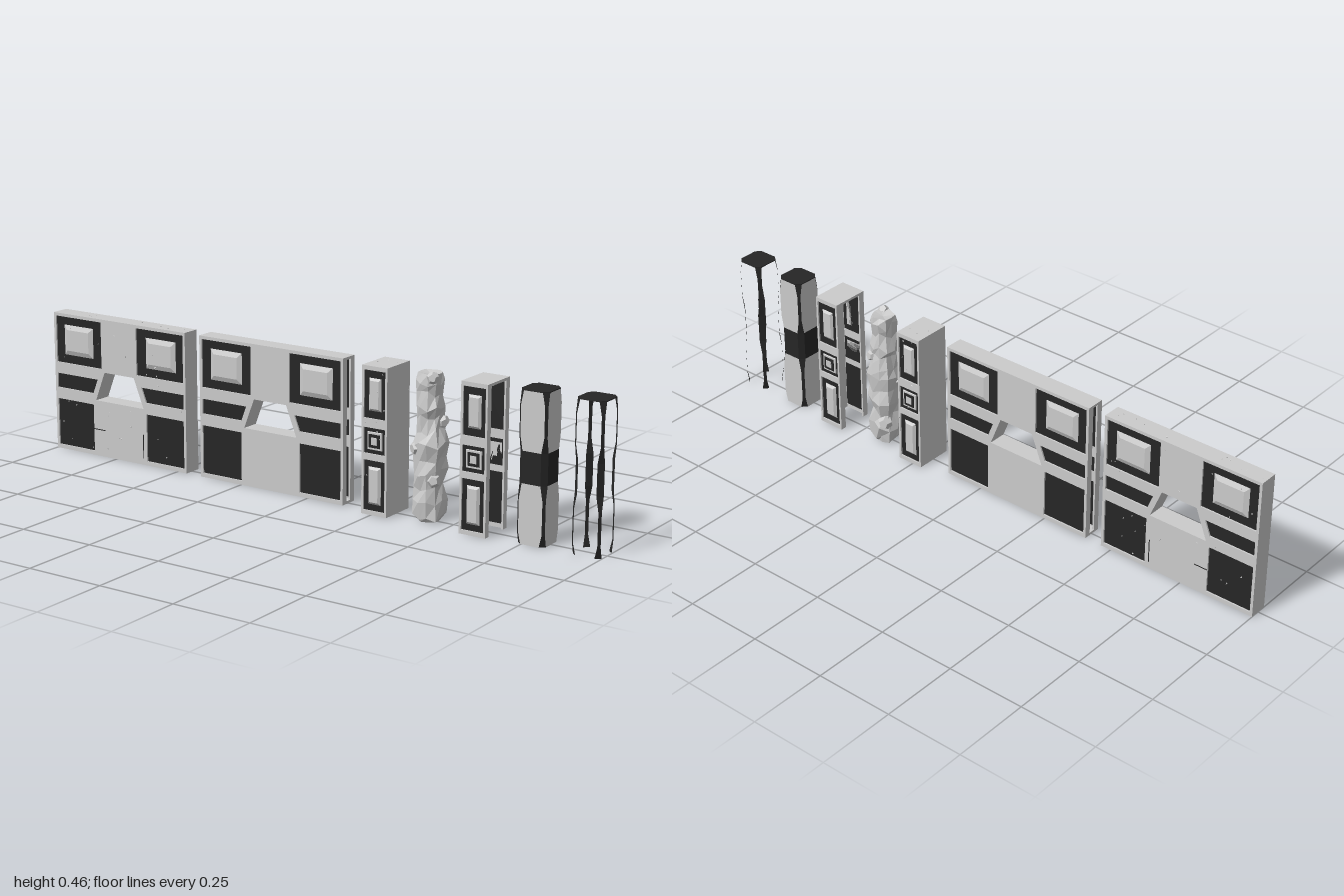
import * as THREE from 'three';

const H = 0.453;
const make = (color) => new THREE.MeshStandardMaterial({ color, flatShading: true, side: THREE.DoubleSide });
const grey = make(0xcccccc), dark = make(0x262626);

let seed = 7;
const rnd = () => (seed = (seed * 16807) % 2147483647) / 2147483647;

function add(parent, name, geo, mat, x = 0, y = 0, z = 0) {
  const m = new THREE.Mesh(geo, mat);
  m.name = name;
  m.position.set(x, y, z);
  parent.add(m);
  return m;
}
const box = (parent, name, mat, w, h, d, x, y, z) => add(parent, name, new THREE.BoxGeometry(w, h, d), mat, x, y, z);
const toShape = (pts) => new THREE.Shape(pts.map(([x, y]) => new THREE.Vector2(x, y)));
const rect = (x0, x1, y0, y1) => [[x0, y0], [x1, y0], [x1, y1], [x0, y1]];
const slab = (pts, holes, depth) => {
  const s = toShape(pts);
  s.holes = holes.map(toShape);
  return new THREE.ExtrudeGeometry(s, { depth, bevelEnabled: false });
};

// Box whose front face is shrunk, giving a bevelled pane
function pane(w, h, d, inset) {
  const g = new THREE.BoxGeometry(w, h, d), p = g.attributes.position;
  for (let i = 0; i < p.count; i++) {
    if (p.getZ(i) > 0) p.setXY(i, p.getX(i) - Math.sign(p.getX(i)) * inset, p.getY(i) - Math.sign(p.getY(i)) * inset);
  }
  g.computeVertexNormals();
  return g;
}

// Skin through rows of points, bottom row first
function loft(rows) {
  const v = [];
  for (let i = 0; i + 1 < rows.length; i++) {
    for (let j = 0; j + 1 < rows[i].length; j++) {
      const a = rows[i][j], b = rows[i][j + 1], c = rows[i + 1][j + 1], d = rows[i + 1][j];
      v.push(...a, ...b, ...c, ...a, ...c, ...d);
    }
  }
  const g = new THREE.BufferGeometry();
  g.setAttribute('position', new THREE.Float32BufferAttribute(v, 3));
  g.computeVertexNormals();
  return g;
}

// Hollow block with the same recessed facade on front and back
function block(name, x, W, Z, recesses, openings, panes, closed) {
  const g = new THREE.Group();
  g.name = name;
  g.position.x = x;
  for (const turn of [0, Math.PI]) {
    const side = new THREE.Group();
    side.name = turn ? 'backFacade' : 'frontFacade';
    side.rotation.y = turn;
    add(side, 'facadePanel', slab(rect(-W, W, 0, H), [...recesses, ...openings], 0.008), grey, 0, 0, Z - 0.008);
    for (const r of recesses) add(side, 'darkRecess', slab(r, [], 0.003), dark, 0, 0, Z - 0.008);
    for (const [px, py, w, h, inset, top, mat] of panes) {
      add(side, 'bevelledPane', pane(w, h, 0.008 + top, inset), mat, px, py, Z + (top - 0.008) / 2);
    }
    if (!closed) {
      for (const s of [-1, 1]) box(side, 'sideFlange', grey, 0.006, H, 0.012, s * (W - 0.003), H / 2, Z - 0.014);
    }
    g.add(side);
  }
  const inner = 2 * Z - 0.016;
  box(g, 'topCap', grey, 2 * W, 0.008, inner, 0, H - 0.004, 0);
  if (closed || openings.length) box(g, 'base', grey, 2 * W, 0.008, inner, 0, 0.004, 0);
  if (closed) for (const s of [-1, 1]) box(g, 'sideWall', grey, 0.008, H - 0.016, inner, s * (W - 0.004), H / 2, 0);
  // Lining of the opening
  for (const o of openings) {
    const outer = o.map(([px, py]) => [px * 1.06, 0.232 + (py - 0.232) * 1.1]);
    add(g, 'openingLining', slab(outer, [o], inner), grey, 0, 0, -inner / 2);
  }
  return g;
}

// Small chips scattered over front, back and top
function chips(g, n, W, Z) {
  for (let i = 0; i < n; i++) {
    const s = i % 2 ? 1 : -1, x = (rnd() * 2 - 1) * W * 0.95, y = 0.02 + rnd() * 0.42;
    if (Math.abs(x) < 0.11 && y > 0.17 && y < 0.29 && W > 0.1) continue;
    const c = add(g, 'chip', new THREE.TetrahedronGeometry(0.002 + rnd() * 0.002), grey, x, i % 7 ? y : H, i % 7 ? s * Z : (rnd() - 0.5) * Z);
    c.rotation.set(rnd() * 3, rnd() * 3, rnd() * 3);
  }
}

function wall(name, x, closed) {
  const recesses = [], panes = [];
  for (const s of [-1, 1]) {
    recesses.push(rect(s * 0.259, s * 0.072, 0.29, 0.443));
    recesses.push([[s * 0.259, 0.205], [s * 0.109, 0.205], [s * 0.09, 0.253], [s * 0.259, 0.253]]);
    recesses.push(rect(s * 0.259, s * 0.109, 0.013, 0.168));
    panes.push([s * 0.168, 0.367, 0.132, 0.112, 0.022, 0.002, grey]);
  }
  const hole = [[-0.098, 0.184], [0.098, 0.184], [0.06, 0.28], [-0.06, 0.28]];
  return block(name, x, 0.268, 0.03, recesses, [hole], panes, closed);
}

function pillar(name, x, closed) {
  const recesses = [[0.295, 0.44], [0.188, 0.267], [0.013, 0.168]].map(([a, b]) => rect(-0.037, 0.037, a, b));
  const panes = [
    [0, 0.367, 0.05, 0.106, 0.011, 0.001, grey],
    [0, 0.09, 0.05, 0.122, 0.011, 0.002, grey],
    [0, 0.227, 0.056, 0.058, 0.003, -0.002, grey],
    [0, 0.227, 0.042, 0.044, 0.002, 0, dark],
    [0, 0.227, 0.024, 0.026, 0.002, 0.002, grey],
  ];
  return block(name, x, 0.044, 0.061, recesses, [], panes, closed);
}

// Eight-sided column: chamfered dark corners, wider chamfers at the waist and ends
function column(name, x, panelled) {
  const g = new THREE.Group(), R = 0.045;
  g.name = name;
  g.position.x = x;
  const lv = [[0, 0.03], [0.035, 0.038], [0.135, 0.038], [0.18, 0.03], [0.275, 0.03], [0.32, 0.038], [0.41, 0.038], [0.45, 0.03]];
  const face = (a, b) => loft(lv.slice(a, b).map(([y, w]) => [[-w, y, R], [w, y, R]]));
  for (let k = 0; k < 4; k++) {
    const q = new THREE.Group();
    q.name = 'columnSide';
    q.rotation.y = k * Math.PI / 2;
    add(q, 'cornerStrip', loft(lv.map(([y, w]) => [[w, y, R], [R, y, w]])), dark);
    if (panelled) {
      add(q, 'lowerPanel', face(0, 4), grey);
      add(q, 'waistBand', face(3, 5), dark);
      add(q, 'upperPanel', face(4, 8), grey);
    }
    g.add(q);
  }
  const c = 0.03;
  const oct = [[c, R], [R, c], [R, -c], [c, -R], [-c, -R], [-R, -c], [-R, c], [-c, R]];
  add(g, 'columnCap', slab(oct, [], 0.003), dark, 0, 0.45, 0).rotation.x = -Math.PI / 2;
  return g;
}

// Broken core: jagged stack of uneven rings
function rubble(x) {
  const g = new THREE.Group();
  g.name = 'rubbleCore';
  g.position.x = x;
  const lv = [[0, 0.03], [0.012, 0.042], [0.06, 0.046], [0.105, 0.038], [0.15, 0.046], [0.19, 0.04], [0.235, 0.047],
    [0.275, 0.037], [0.315, 0.033], [0.345, 0.041], [0.385, 0.033], [0.42, 0.037], [0.447, 0.035]];
  const n = 10;
  const rows = lv.map(([y, r], i) => {
    const ring = [];
    for (let j = 0; j < n; j++) {
      const a = (j + 0.5) / n * Math.PI * 2, s = Math.sin(a), c = Math.cos(a);
      const k = r * (0.82 + rnd() * 0.3) / Math.pow(s ** 4 + c ** 4, 0.25);
      const edge = i === 0 || i === lv.length - 1;
      ring.push([s * k, y + (edge ? 0 : (rnd() - 0.5) * 0.025), c * k]);
    }
    return [...ring, ring[0]];
  });
  rows[1].forEach((p) => { p[1] = Math.max(p[1], 0.006); });
  const close = (y) => rows[0].map(() => [0, y, 0]);
  add(g, 'brokenStone', loft([close(0), ...rows, close(0.44)]), grey);
  // Loose lumps sticking out of the core
  for (const [px, py, pz, r] of [[0.025, 0.438, 0.03, 0.019], [-0.03, 0.22, 0.02, 0.024], [0.03, 0.3, -0.02, 0.02], [-0.025, 0.08, -0.03, 0.024], [0.028, 0.13, 0.025, 0.022]]) {
    const m = add(g, 'stoneLump', new THREE.DodecahedronGeometry(r), grey, px, py, pz);
    m.rotation.set(px * 40, py * 9, 0);
  }
  return g;
}

export function createModel() {
  const root = new THREE.Group();
  root.name = 'modularWallSet';
  const worn = wall('wornWall', -0.732, true);
  chips(worn, 80, 0.268, 0.03);
  // Cracks in the lower panels
  for (const z of [-0.03, 0.03]) {
    box(worn, 'crack', dark, 0.045, 0.003, 0.001, -0.085, 0.088, z);
    box(worn, 'crack', dark, 0.003, 0.08, 0.001, 0.095, 0.06, z);
  }
  const wornPillar = pillar('wornPillar', 0.26, true);
  chips(wornPillar, 24, 0.044, 0.061);
  root.add(worn, wall('hollowWall', -0.139, false), wornPillar, rubble(0.415),
    pillar('hollowPillar', 0.597, false), column('panelledColumn', 0.777, true), column('openColumn', 0.953, false));
  return root;
}
